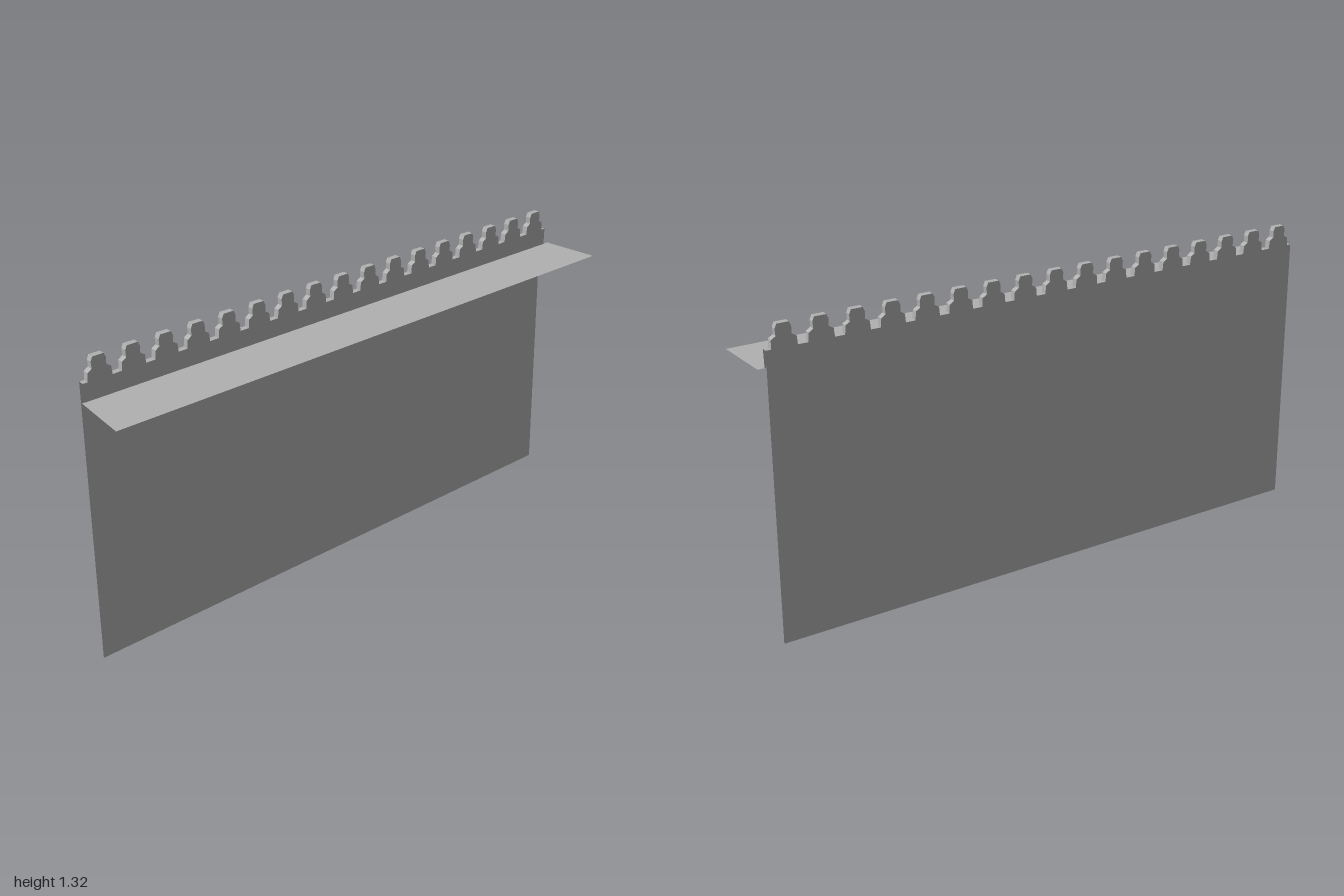
import * as THREE from 'three';

const COUNT = 17;          // merlons
const HALF_TOP = 1.2145;   // half length of the parapet
const HALF_BASE = 1.245;   // half length at the ground
const DEPTH = 0.026;       // gap between outer and inner parapet faces
const DECK_Y = 1.15;

// Stepped battlement outline, from left to right
function battlementLine() {
  const pitch = (2 * HALF_TOP) / COUNT;
  const half = [[0.36, 1.225], [0.34, 1.26], [0.21, 1.272], [0.22, 1.3], [0.165, 1.318]];
  const points = [new THREE.Vector2(-HALF_TOP, 1.225)];
  for (let i = 0; i < COUNT; i++) {
    const c = -HALF_TOP + (i + 0.5) * pitch;
    for (const [w, y] of half) points.push(new THREE.Vector2(c - w * pitch, y));
    for (const [w, y] of [...half].reverse()) points.push(new THREE.Vector2(c + w * pitch, y));
  }
  points.push(new THREE.Vector2(HALF_TOP, 1.225));
  return points;
}

// Flat face closed below the battlement outline
function faceGeometry(line, halfBottom, bottomY) {
  const outline = [
    new THREE.Vector2(halfBottom, bottomY),
    ...[...line].reverse(),
    new THREE.Vector2(-halfBottom, bottomY),
  ].reverse();
  return new THREE.ShapeGeometry(new THREE.Shape(outline));
}

// Strip that joins the outer and inner faces along the battlements
function copingGeometry(line) {
  const pos = [];
  for (let i = 0; i < line.length - 1; i++) {
    const a = line[i], b = line[i + 1];
    pos.push(a.x, a.y, 0, a.x, a.y, DEPTH, b.x, b.y, DEPTH);
    pos.push(a.x, a.y, 0, b.x, b.y, DEPTH, b.x, b.y, 0);
  }
  const g = new THREE.BufferGeometry();
  g.setAttribute('position', new THREE.Float32BufferAttribute(pos, 3));
  g.computeVertexNormals();
  return g;
}

// Walkway plate, its corners given as (along wall, out from wall)
function walkwayGeometry() {
  const shape = new THREE.Shape([
    new THREE.Vector2(-1.226, -0.024),
    new THREE.Vector2(-1.245, -0.284),
    new THREE.Vector2(1.271, -0.276),
    new THREE.Vector2(1.242, -0.024),
  ]);
  return new THREE.ShapeGeometry(shape).rotateX(-Math.PI / 2);
}

export function createModel() {
  const stone = new THREE.MeshStandardMaterial({ color: 0xb0b0b0, side: THREE.DoubleSide });
  stone.name = 'grey stone';

  const wall = new THREE.Group();
  wall.name = 'battlementWall';
  const add = (name, geometry, y = 0, z = 0) => {
    const mesh = new THREE.Mesh(geometry, stone);
    mesh.name = name;
    mesh.position.set(0, y, z);
    wall.add(mesh);
  };

  const line = battlementLine();
  add('outerWall', faceGeometry(line, HALF_BASE, 0));
  add('innerParapet', faceGeometry(line, HALF_TOP, DECK_Y), 0, DEPTH);
  add('coping', copingGeometry(line));
  add('walkway', walkwayGeometry(), DECK_Y);

  // Diagonal placement
  wall.rotation.y = Math.atan2(1.75, 1.685);
  wall.position.set(-0.112, 0, -0.098);

  const model = new THREE.Group();
  model.name = 'castleWall';
  model.add(wall);
  return model;
}
